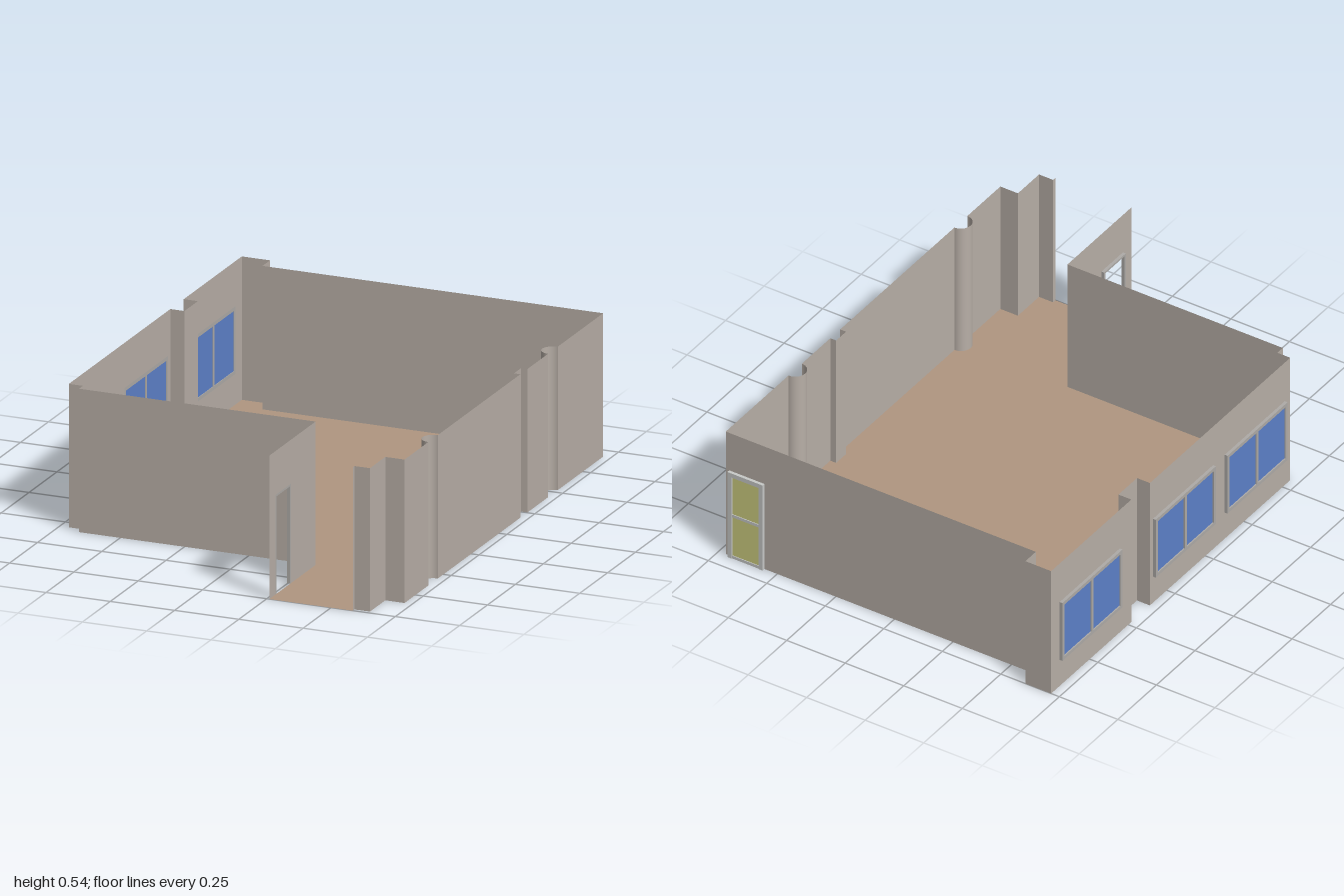
import * as THREE from 'three';

const H = 0.54;        // wall height
const OUT = 0.012;     // how far frames stand proud of the walls

const mat = (name, color, side = THREE.FrontSide) => {
  const m = new THREE.MeshStandardMaterial({ color, side });
  m.name = name;
  return m;
};

export function createModel() {
  const wallMat = mat('wall plaster', 0xb8afa7, THREE.DoubleSide);
  const floorMat = mat('floor tan', 0xb09680, THREE.DoubleSide);
  const frameMat = mat('window frame grey', 0xaeaba7);
  const doorFrameMat = mat('door frame grey', 0xc8cac8);
  const glassMat = mat('window blue', 0x5d81c9);
  const panelMat = mat('door panel yellow', 0xcfcf80);

  const model = new THREE.Group();
  model.name = 'room';

  const box = (parent, name, m, x0, x1, y0, y1, z0, z1) => {
    const mesh = new THREE.Mesh(new THREE.BoxGeometry(x1 - x0, y1 - y0, z1 - z0), m);
    mesh.position.set((x0 + x1) / 2, (y0 + y1) / 2, (z0 + z1) / 2);
    mesh.name = name;
    parent.add(mesh);
  };

  // Frame lining an opening, on the outer (-z) side of a wall
  const frame = (parent, name, m, o, t) => {
    const [u0, u1, y0, y1] = o;
    box(parent, name, m, u0, u0 + t, y0, y1, -OUT, 0);
    box(parent, name, m, u1 - t, u1, y0, y1, -OUT, 0);
    box(parent, name, m, u0 + t, u1 - t, y1 - t, y1, -OUT, 0);
    if (y0 > 0) box(parent, name, m, u0 + t, u1 - t, y0, y0 + t, -OUT, 0);
  };

  const fillers = {
    window(parent, o) {
      const [u0, u1, y0, y1] = o, mid = (u0 + u1) / 2;
      frame(parent, 'windowFrame', frameMat, o, 0.014);
      box(parent, 'windowMullion', frameMat, mid - 0.006, mid + 0.006, y0 + 0.014, y1 - 0.014, -OUT, 0);
      box(parent, 'windowPane', glassMat, u0 + 0.014, u1 - 0.014, y0 + 0.014, y1 - 0.014, -0.007, -0.002);
    },
    door(parent, o) {
      const [u0, u1, y0, y1] = o, mid = y1 / 2;
      frame(parent, 'doorFrame', doorFrameMat, o, 0.018);
      box(parent, 'doorRail', doorFrameMat, u0 + 0.018, u1 - 0.018, mid - 0.006, mid + 0.006, -0.01, 0);
      box(parent, 'doorSill', doorFrameMat, u0 + 0.018, u1 - 0.018, 0, 0.012, -0.01, 0);
      box(parent, 'doorPanel', panelMat, u0 + 0.018, u1 - 0.018, y0 + 0.012, y1 - 0.018, -0.007, -0.002);
    },
    doorway(parent, o) {
      frame(parent, 'doorwayFrame', frameMat, o, 0.008);
    },
  };

  // Straight thin wall from a to b with openings [kind, u0, u1, y0, y1]
  const wall = (a, b, openings = []) => {
    const dx = b[0] - a[0], dz = b[1] - a[1], len = Math.hypot(dx, dz);
    const g = new THREE.Group();
    g.name = 'wallSection';
    const shape = new THREE.Shape().moveTo(0, 0);
    for (const [kind, u0, u1, y0, y1] of openings) {
      if (y0 > 0) {
        shape.holes.push(new THREE.Path().moveTo(u0, y0).lineTo(u0, y1).lineTo(u1, y1).lineTo(u1, y0).closePath());
      } else {
        shape.lineTo(u0, 0).lineTo(u0, y1).lineTo(u1, y1).lineTo(u1, 0);
      }
      fillers[kind](g, [u0, u1, y0, y1]);
    }
    shape.lineTo(len, 0).lineTo(len, H).lineTo(0, H).closePath();
    const mesh = new THREE.Mesh(new THREE.ShapeGeometry(shape), wallMat);
    mesh.name = 'wall';
    g.add(mesh);
    g.position.set(a[0], 0, a[1]);
    g.rotation.y = Math.atan2(-dz, dx);
    model.add(g);
  };

  // Perimeter as [x, z, what leads to the next point]
  const W0 = 0.115, W1 = 0.37, D1 = 0.375;
  const R = 0.72, L = -0.715;
  const perimeter = [
    [L, -1], [-0.605, -1], [-0.605, -0.932, [['door', 1.16, 1.31, 0, D1]]],
    [R, -0.932], [R, -0.525, 'round'], [R, -0.439],
    [R, -0.254], [0.695, -0.254], [0.695, -0.19], [R, -0.19],
    [R, 0.55, 'round'], [R, 0.634],
    [R, 0.848], [0.645, 0.848], [0.645, 0.985], [0.585, 0.985], [0.585, 1, 'open'],
    [0.26, 1, [['doorway', 0.055, 0.195, 0, D1]]],
    [0.26, 0.585], [-0.66, 0.585], [-0.66, 0.55],
    [L, 0.55, [['window', 0.035, 0.425, W0, W1], ['window', 0.5, 0.89, W0, W1]]],
    [L, -0.36], [-0.66, -0.36], [-0.66, -0.48],
    [L, -0.48, [['window', 0.075, 0.465, W0, W1]]],
  ];

  const outline = [];
  perimeter.forEach((a, i) => {
    const b = perimeter[(i + 1) % perimeter.length], link = a[2];
    outline.push(new THREE.Vector2(a[0], -a[1]));
    if (link === 'round') {
      // Half-round column niche
      const r = (b[1] - a[1]) / 2, c = (a[1] + b[1]) / 2, n = 16;
      for (let k = 1; k < n; k++) {
        const t = (k / n) * Math.PI;
        outline.push(new THREE.Vector2(R - r * Math.sin(t), -(c - r * Math.cos(t))));
      }
      const niche = new THREE.Mesh(new THREE.CylinderGeometry(r, r, H, n, 1, true, Math.PI, Math.PI), wallMat);
      niche.position.set(R, H / 2, c);
      niche.name = 'roundColumn';
      model.add(niche);
    } else if (link !== 'open') {
      wall(a, b, link);
    }
  });

  // Floor
  const floor = new THREE.Mesh(new THREE.ShapeGeometry(new THREE.Shape(outline)), floorMat);
  floor.rotation.x = -Math.PI / 2;
  floor.name = 'floor';
  model.add(floor);

  return model;
}
